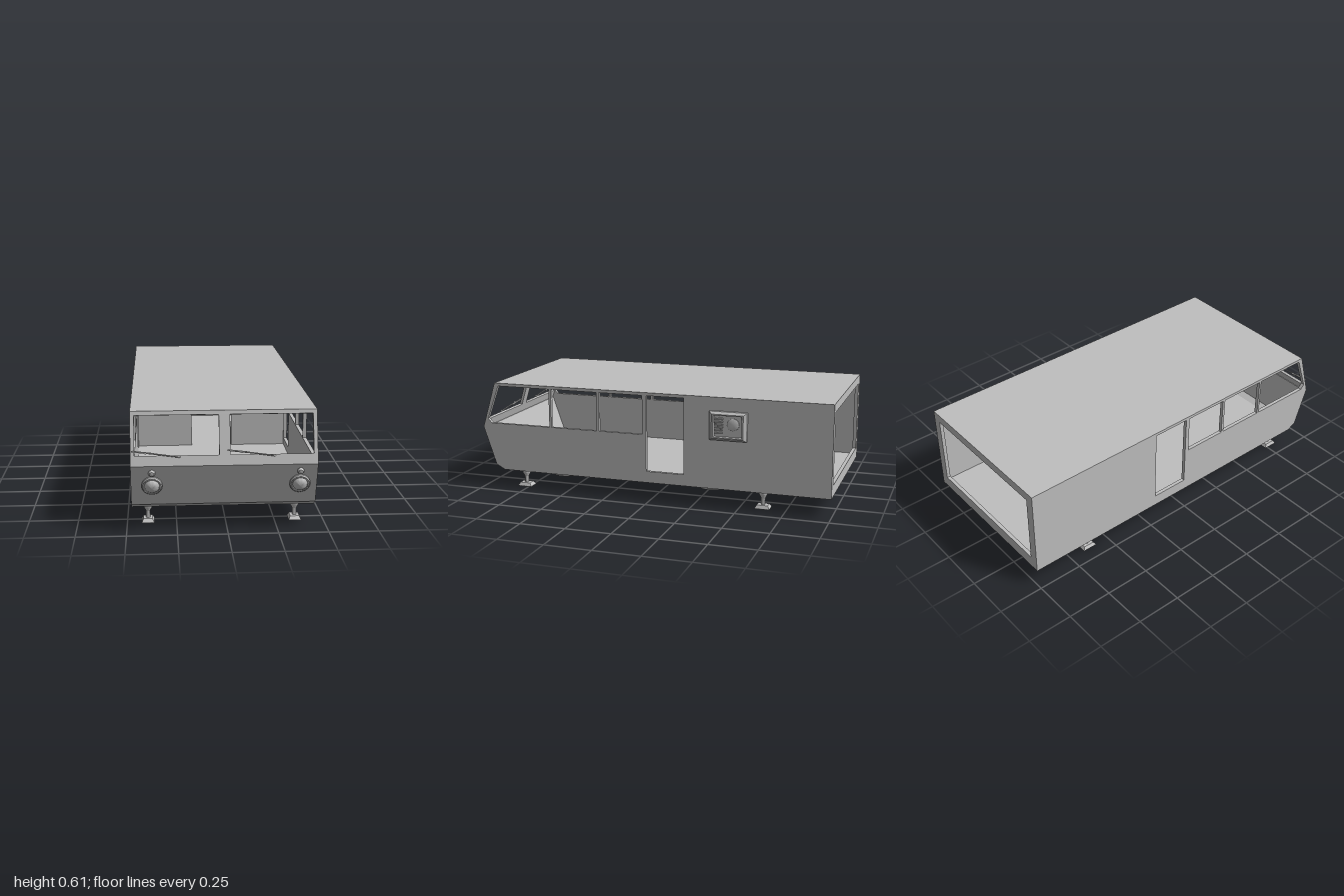
import * as THREE from 'three';
import { toCreasedNormals } from 'three/addons/utils/BufferGeometryUtils.js';

const grey = new THREE.MeshStandardMaterial({ color: 0xbfbfbf });
grey.name = 'plain grey';

// inner faces of the side walls
const XL = 0.42, XR = -0.455, WALL = 0.02;
const MID = (XL + XR) / 2, WIDTH = XL - XR;

function add(parent, name, geometry, x = 0, y = 0, z = 0) {
  const m = new THREE.Mesh(geometry, grey);
  m.name = name;
  m.position.set(x, y, z);
  parent.add(m);
  return m;
}
const points = (p) => p.map(([a, b]) => new THREE.Vector2(a, b));
const rect = (a, b, c, d) => [[a, b], [c, b], [c, d], [a, d]];
function extrude(outline, holes, depth) {
  const s = new THREE.Shape(points(outline));
  holes.forEach((h) => s.holes.push(new THREE.Path(points(h))));
  return new THREE.ExtrudeGeometry(s, { depth, bevelEnabled: false });
}
// profile given in (z, y), extruded towards -x
const sideways = (outline, holes, depth) => extrude(outline, holes, depth).rotateY(-Math.PI / 2);
const turned = (profile, sides = 32) => toCreasedNormals(new THREE.LatheGeometry(points(profile), sides), 0.5);
// four-sided turning: radii are fractions of the half width
function square(profile, w, d) {
  const p = profile.map(([r, y]) => [r * Math.SQRT2, y]);
  const g = new THREE.LatheGeometry(points(p), 4, Math.PI / 4).scale(w / 2, 1, d / 2);
  return toCreasedNormals(g, 0.1);
}

function buildBody(g) {
  // side walls with three windows and a door
  const outline = [[-1, 0.107], [0.87, 0.107], [0.92, 0.135], [0.993, 0.35], [0.915, 0.607], [-1, 0.607]];
  const holes = [
    [[0.583, 0.375], [0.94, 0.375], [0.962, 0.4], [0.893, 0.59], [0.583, 0.59]],
    rect(0.3, 0.375, 0.57, 0.59),
    rect(0.035, 0.375, 0.285, 0.59),
    rect(-0.2, 0.17, 0.012, 0.59),
  ];
  add(g, 'leftWall', sideways(outline, holes, WALL), XL + WALL);
  add(g, 'rightWall', sideways(outline, holes, WALL), XR);

  // roof, and floor with the nose
  add(g, 'roof', sideways([[-1, 0.59], [0.92, 0.59], [0.915, 0.607], [-1, 0.607]], [], WIDTH), XL);
  add(g, 'floorAndNose', sideways([[-1, 0.107], [0.87, 0.107], [0.92, 0.135], [0.993, 0.35], [0.973, 0.35],
    [0.902, 0.147], [0.865, 0.13], [-1, 0.13]], [], WIDTH), XL);

  // windscreen frame
  const frame = new THREE.Group();
  frame.name = 'windscreenFrame';
  frame.position.set(0, 0.35, 0.993);
  frame.rotation.x = -0.295;
  g.add(frame);
  const bar = (name, x, w, v0, v1) =>
    add(frame, name, new THREE.BoxGeometry(w, v1 - v0, 0.016), x, (v0 + v1) / 2, -0.008);
  bar('lowerBand', MID, WIDTH, 0, 0.052);
  bar('header', MID, WIDTH, 0.248, 0.2686);
  bar('centrePost', -0.0155, 0.055, 0.052, 0.248);

  // rear opening and inner bulkhead
  add(g, 'rearFrame', extrude(rect(XR, 0.13, XL, 0.59), [rect(-0.425, 0.17, 0.39, 0.56)], 0.02), 0, 0, -1);
  add(g, 'bulkhead', extrude([[XR, 0.13], [-0.135, 0.13], [-0.135, 0.535], [0.102, 0.535],
    [0.102, 0.13], [XL, 0.13], [XL, 0.59], [XR, 0.59]], [], 0.02), 0, 0, -0.23);

  // ceiling lamp
  add(g, 'ceilingLamp', new THREE.SphereGeometry(0.02, 20, 12), -0.02, 0.587, 0.355);
}

function buildHeadlight(g, x) {
  const lamp = new THREE.Group();
  lamp.name = 'headlight';
  lamp.position.set(x, 0.245, 0.957);
  lamp.rotation.x = 0.327;
  g.add(lamp);
  add(lamp, 'headlightRing', turned([[0.051, -0.004], [0.051, 0.008], [0.046, 0.014], [0.038, 0.014], [0.036, 0.008]])
    .rotateX(Math.PI / 2));
  add(lamp, 'headlightLens', turned([[0.037, 0.006], [0.035, 0.016], [0.027, 0.025], [0.014, 0.031], [0, 0.033]])
    .rotateX(Math.PI / 2));
  for (let i = 0; i < 18; i++) {
    const a = (i / 18) * Math.PI * 2;
    const tab = add(lamp, 'ringTab', new THREE.BoxGeometry(0.003, 0.009, 0.003),
      0.042 * Math.cos(a), 0.042 * Math.sin(a), 0.0145);
    tab.rotation.z = a;
  }
  // small round lamp above
  add(lamp, 'signalLamp', turned([[0.017, -0.003], [0.017, 0.006], [0.012, 0.014], [0, 0.018]], 24)
    .rotateX(Math.PI / 2), 0, 0.073, 0);
}

function buildWiper(g, x) {
  const w = new THREE.Group();
  w.name = 'wiper';
  w.position.set(x, 0.395, 0.985);
  g.add(w);
  const pivot = add(w, 'wiperPivot', new THREE.CylinderGeometry(0.006, 0.007, 0.02, 14));
  pivot.rotation.x = Math.PI / 2 - 0.295;
  const curve = new THREE.CatmullRomCurve3([
    new THREE.Vector3(0, 0, 0.006), new THREE.Vector3(-0.08, 0.011, 0.004),
    new THREE.Vector3(-0.165, 0.021, 0), new THREE.Vector3(-0.225, 0.028, -0.005)]);
  add(w, 'wiperArm', new THREE.TubeGeometry(curve, 16, 0.0035, 6));
  const blade = add(w, 'wiperBlade', new THREE.BoxGeometry(0.11, 0.007, 0.006), -0.175, 0.0215, -0.004);
  blade.rotation.z = -0.12;
  const joint = add(w, 'wiperJoint', new THREE.BoxGeometry(0.014, 0.009, 0.01), -0.165, 0.021, 0);
  joint.rotation.z = -0.12;
}

function buildSideUnit(g) {
  const unit = new THREE.Group();
  unit.name = 'sideVentUnit';
  unit.position.set(0.44, 0.457, -0.448);
  g.add(unit);
  // bevelled housing with a recessed panel
  add(unit, 'ventHousing', square([[1, -0.002], [1, 0.016], [0.84, 0.031], [0.76, 0.031], [0.72, 0.018], [0, 0.018]],
    0.155, 0.205).rotateZ(-Math.PI / 2));
  // slatted grille
  for (let i = 0; i < 6; i++) {
    add(unit, 'ventSlat', new THREE.BoxGeometry(0.01, 0.008, 0.046), 0.021, -0.035 + i * 0.015, 0.05);
  }
  // round cap
  add(unit, 'ventCap', turned([[0.033, 0], [0.033, 0.008], [0.027, 0.011], [0, 0.011]])
    .rotateZ(-Math.PI / 2), 0.017, 0.012, -0.029);
}

export function createModel() {
  const model = new THREE.Group();
  model.name = 'camperBody';
  buildBody(model);

  for (const x of [-0.372, 0.355]) buildHeadlight(model, x);
  for (const x of [-0.239, 0.226]) buildWiper(model, x);
  buildSideUnit(model);

  // jack legs with square feet
  const post = turned([[0.011, 0.015], [0.011, 0.055], [0.023, 0.078], [0.023, 0.109]], 20);
  const foot = square([[0, 0], [1, 0], [1, 0.004], [0.75, 0.02], [0, 0.02]], 0.062, 0.08);
  for (const x of [-0.395, 0.355]) for (const z of [0.775, -0.622]) {
    const leg = new THREE.Group();
    leg.name = 'jackLeg';
    leg.position.set(x, 0, z);
    model.add(leg);
    add(leg, 'legPost', post);
    add(leg, 'legFoot', foot);
  }

  // round dishes under the floor
  const dish = turned([[0, 0.09], [0.058, 0.09], [0.066, 0.07], [0.078, 0.07], [0.1, 0.09], [0.104, 0.094],
    [0.128, 0.094], [0.128, 0.101], [0.11, 0.108]], 40);
  for (const x of [-0.312, 0.272]) for (const z of [0.555, -0.315]) add(model, 'underfloorDish', dish, x, 0, z);
  return model;
}
